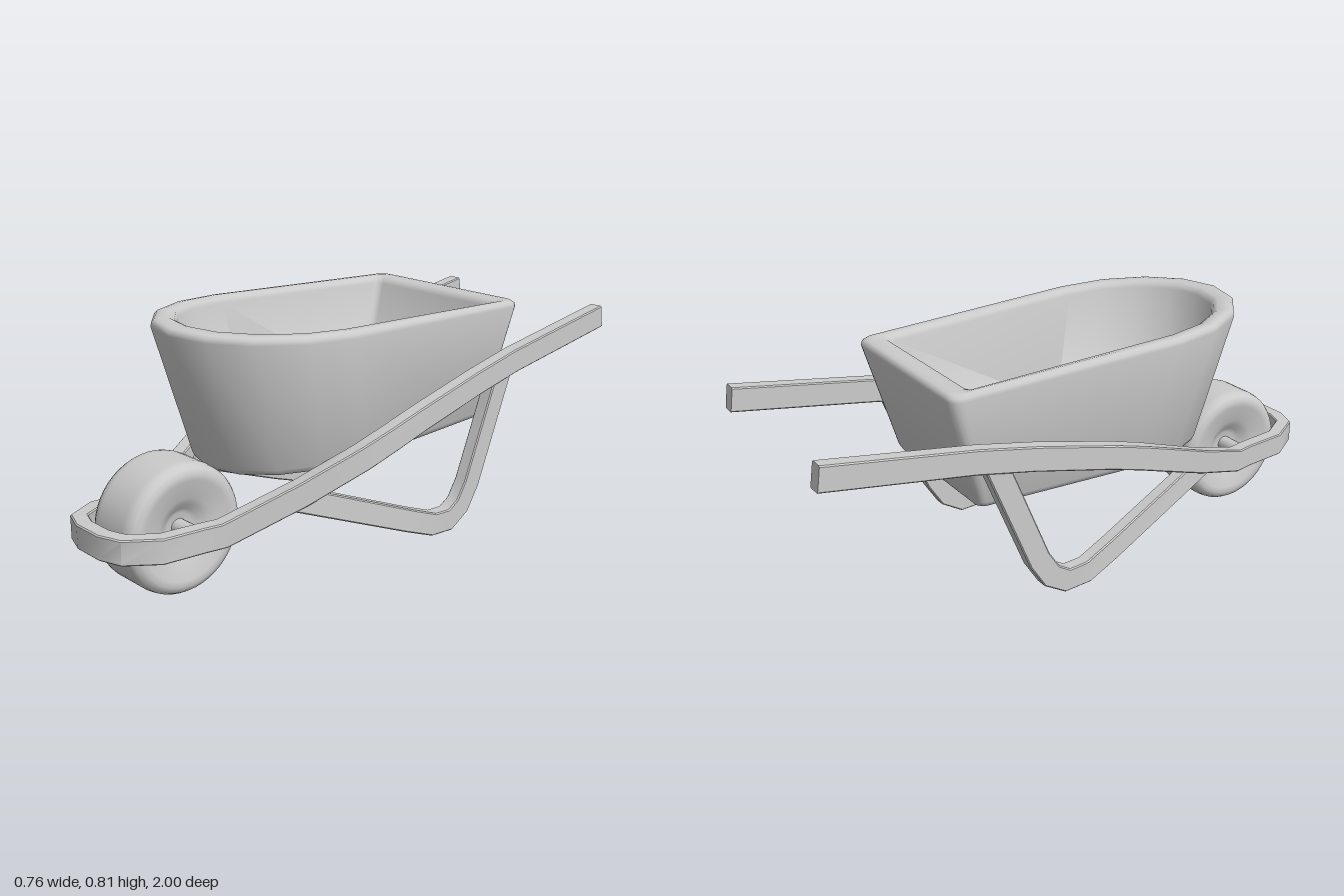
import * as THREE from 'three';
import { toCreasedNormals } from 'three/addons/utils/BufferGeometryUtils.js';

const material = new THREE.MeshStandardMaterial({ color: 0xcccccc });

// Skins a list of equal-length rings (counter-clockwise about the travel direction) and caps both ends
function loft(rings, crease) {
  const n = rings[0].length;
  const pos = [];
  const idx = [];
  rings.forEach(ring => ring.forEach(p => pos.push(p.x, p.y, p.z)));
  for (let i = 0; i < rings.length - 1; i++) {
    for (let j = 0; j < n; j++) {
      const a = i * n + j, b = i * n + (j + 1) % n;
      idx.push(a, b, a + n, b, b + n, a + n);
    }
  }
  const cap = (start, flip) => {
    const ring = rings[start / n];
    const c = new THREE.Vector3();
    ring.forEach(p => c.addScaledVector(p, 1 / n));
    const k = pos.length / 3;
    pos.push(c.x, c.y, c.z);
    for (let j = 0; j < n; j++) {
      const a = start + j, b = start + (j + 1) % n;
      if (flip) idx.push(k, b, a); else idx.push(k, a, b);
    }
  };
  cap(0, true);
  cap((rings.length - 1) * n, false);
  const g = new THREE.BufferGeometry();
  g.setAttribute('position', new THREE.Float32BufferAttribute(pos, 3));
  g.setIndex(idx);
  return toCreasedNormals(g, crease);
}

// Bevelled rectangular bar with mitred joints; w lies across the axis, h along it
function bar(points, w, h, axis) {
  const b = 0.004, W = w / 2, H = h / 2;
  const section = [[H, -W + b], [H, W - b], [H - b, W], [-H + b, W],
    [-H, W - b], [-H, -W + b], [-H + b, -W], [H - b, -W]];
  const dir = i => points[i + 1].clone().sub(points[i]).normalize();
  const rings = points.map((p, i) => {
    const before = dir(Math.max(i - 1, 0));
    const after = dir(Math.min(i, points.length - 2));
    const t = before.clone().add(after).normalize();
    const v = t.clone().cross(axis).normalize();
    const u = v.clone().cross(t);
    v.multiplyScalar(1 / t.dot(after));
    return section.map(([a, c]) => p.clone().addScaledVector(u, a).addScaledVector(v, c));
  });
  return loft(rings, 0.7);
}

// D-shaped outline: elliptical front, straight sides, rounded back corners, tilted in y
function tubRing([wb, wf, zb, zf, za, yb, yf, r]) {
  const pts = [];
  const add = (x, z) => pts.push(new THREE.Vector3(x, yb + (yf - yb) * (z - zb) / (zf - zb), z));
  for (let i = 0; i <= 8; i++) {
    const t = (i / 8 - 0.5) * Math.PI;
    add(wf * Math.sin(t), za + (zf - za) * Math.cos(t));
  }
  for (const s of [1, -1]) {
    for (let i = 0; i <= 4; i++) {
      const t = (s > 0 ? i : 4 - i) / 4 * Math.PI / 2;
      add(s * (wb - r + r * Math.cos(t)), zb + r - r * Math.sin(t));
    }
  }
  return pts;
}

export function createModel() {
  const group = new THREE.Group();
  const add = (name, geometry) => {
    const mesh = new THREE.Mesh(geometry, material);
    mesh.name = name;
    group.add(mesh);
    return mesh;
  };
  const V = a => new THREE.Vector3(...a);

  // Tub: up the outside, over the rolled rim, down the inside
  // half width back, half width front, z back, z front, z of arc start, y back, y front, corner radius
  const tub = [
    [0.255, 0.265, -0.43, 0.525, 0.16, 0.352, 0.338, 0.03],
    [0.272, 0.284, -0.45, 0.548, 0.16, 0.358, 0.344, 0.03],
    [0.280, 0.292, -0.46, 0.558, 0.16, 0.375, 0.362, 0.03],
    [0.326, 0.350, -0.558, 0.682, 0.25, 0.735, 0.790, 0.04],
    [0.324, 0.348, -0.556, 0.681, 0.25, 0.748, 0.803, 0.04],
    [0.315, 0.339, -0.547, 0.672, 0.25, 0.756, 0.812, 0.04],
    [0.300, 0.323, -0.53, 0.656, 0.25, 0.758, 0.814, 0.035],
    [0.288, 0.303, -0.495, 0.62, 0.25, 0.756, 0.812, 0.025],
    [0.277, 0.292, -0.48, 0.604, 0.25, 0.750, 0.804, 0.025],
    [0.272, 0.287, -0.473, 0.597, 0.25, 0.736, 0.790, 0.025],
    [0.246, 0.260, -0.365, 0.49, 0.18, 0.390, 0.380, 0.03],
  ];
  add('tub', loft(tub.map(tubRing), 1.5));

  // Frame: one bar from handle to handle around the front of the wheel
  const half = [
    [0.342, 0.632, -0.994], [0.342, 0.558, -0.5], [0.35, 0.522, -0.3], [0.356, 0.459, -0.02],
    [0.354, 0.425, 0.1], [0.338, 0.385, 0.21], [0.275, 0.302, 0.41], [0.188, 0.213, 0.65],
    [0.172, 0.212, 0.72], [0.17, 0.222, 0.86], [0.115, 0.229, 0.952], [0.05, 0.23, 0.975],
  ];
  const mirrored = half.map(([x, y, z]) => [-x, y, z]).reverse();
  add('frame', bar([...half, ...mirrored].map(V), 0.05, 0.081, new THREE.Vector3(0, 1, 0)));

  // Legs: bent bars from the front of the rails to the ground and back up
  for (const s of [1, -1]) {
    const path = [
      [0.265, 0.286, 0.43], [0.328, 0.109, 0], [0.342, 0.069, -0.105], [0.342, 0.063, -0.185],
      [0.342, 0.098, -0.245], [0.342, 0.168, -0.29], [0.342, 0.525, -0.437],
    ].map(([x, y, z]) => V([s * x, y, z]));
    add(s > 0 ? 'leftLeg' : 'rightLeg', bar(path, 0.077, 0.048, new THREE.Vector3(1, 0, 0)));
  }

  // Wheel: rounded tread with a dished hub on both sides
  const side = [[0, 0.055], [0.045, 0.057], [0.062, 0.067], [0.08, 0.08], [0.1, 0.089],
    [0.16, 0.106], [0.18, 0.106], [0.197, 0.098], [0.206, 0.083], [0.21, 0.06]];
  const profile = [...side.map(([r, x]) => [r, -x]), ...side.slice().reverse()]
    .map(([r, x]) => new THREE.Vector2(r, x));
  const wheel = add('wheel', new THREE.LatheGeometry(profile, 48));
  const axle = add('axle', new THREE.CylinderGeometry(0.027, 0.027, 0.34, 20));
  for (const part of [wheel, axle]) {
    part.rotation.z = Math.PI / 2;
    part.position.set(0, 0.212, 0.715);
  }
  return group;
}
